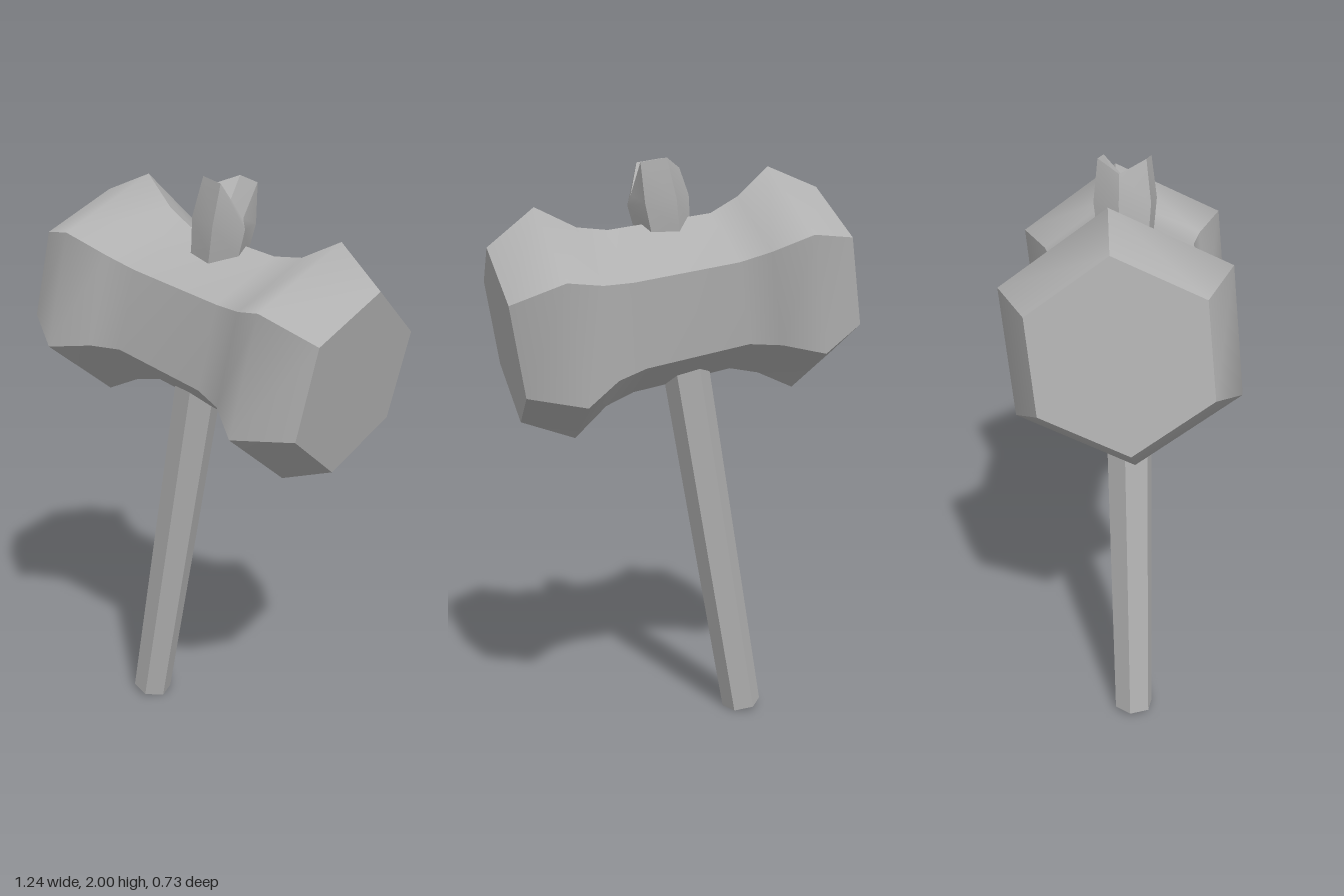
import * as THREE from 'three';
import { mergeGeometries } from 'three/addons/utils/BufferGeometryUtils.js';

const SIDES = 6;

// Hexagonal turned solid: each side is its own strip, smooth along its length and sharp at the corners.
// A run is a list of [radius, height]; separate runs meet at a hard edge.
function hexSolid(runs, startDeg, deform) {
  const slices = [];
  const step = (Math.PI * 2) / SIDES;
  for (const run of runs) {
    const profile = run.map(([r, y]) => new THREE.Vector2(r, y));
    for (let i = 0; i < SIDES; i++) {
      const start = THREE.MathUtils.degToRad(startDeg) + i * step;
      const slice = new THREE.LatheGeometry(profile, 1, start, step);
      if (deform) {
        const p = slice.attributes.position;
        for (let k = 0; k < p.count; k++) p.setY(k, deform(p.getX(k), p.getY(k), p.getZ(k)));
      }
      slice.computeVertexNormals();
      slices.push(slice);
    }
  }
  return mergeGeometries(slices);
}

export function createModel() {
  const model = new THREE.Group();
  model.name = 'mallet';
  const grey = new THREE.MeshStandardMaterial({ color: 0xb0b0b0, side: THREE.DoubleSide });
  grey.name = 'grey';

  // Waisted head with bevelled ends, lying along x and rolled slightly about its axis
  const body = [
    [0.295, -0.577], [0.393, -0.407], [0.312, -0.285], [0.274, -0.183],
    [0.282, 0.178], [0.309, 0.28], [0.397, 0.407], [0.298, 0.581],
  ];
  const head = new THREE.Mesh(
    hexSolid([[[0, -0.577], body[0]], body, [body[7], [0, 0.581]]], 24), grey);
  head.name = 'head';
  head.position.set(0, 1.52, 0);
  head.rotation.z = THREE.MathUtils.degToRad(-100.2);
  model.add(head);

  // Leaning shaft, with the flared and split end standing out above the head
  const shaft = new THREE.Group();
  shaft.name = 'shaft';
  shaft.position.set(-0.29, 0.013, 0.04);
  shaft.rotation.set(THREE.MathUtils.degToRad(-1.2), 0, THREE.MathUtils.degToRad(-10.2));
  model.add(shaft);

  const handle = new THREE.Mesh(
    hexSolid([[[0, 0], [0.071, 0]], [[0.071, 0], [0.082, 1.4]]], 20), grey);
  handle.name = 'handle';
  shaft.add(handle);

  // The rim dips at both x corners, leaving a front and a back prong
  const dip = (x, y, z) => {
    if (y < 1.95 || Math.abs(z) > 0.03 || Math.abs(x) < 0.03) return y;
    return y - (x > 0 ? 0.1 : 0.04);
  };
  const knob = new THREE.Mesh(
    hexSolid([
      [[0.085, 1.6], [0.094, 1.78], [0.105, 1.88], [0.088, 2.012]],
      [[0.088, 2.012], [0, 1.9]],
    ], 20, dip), grey);
  knob.name = 'splitHandleEnd';
  shaft.add(knob);

  return model;
}
